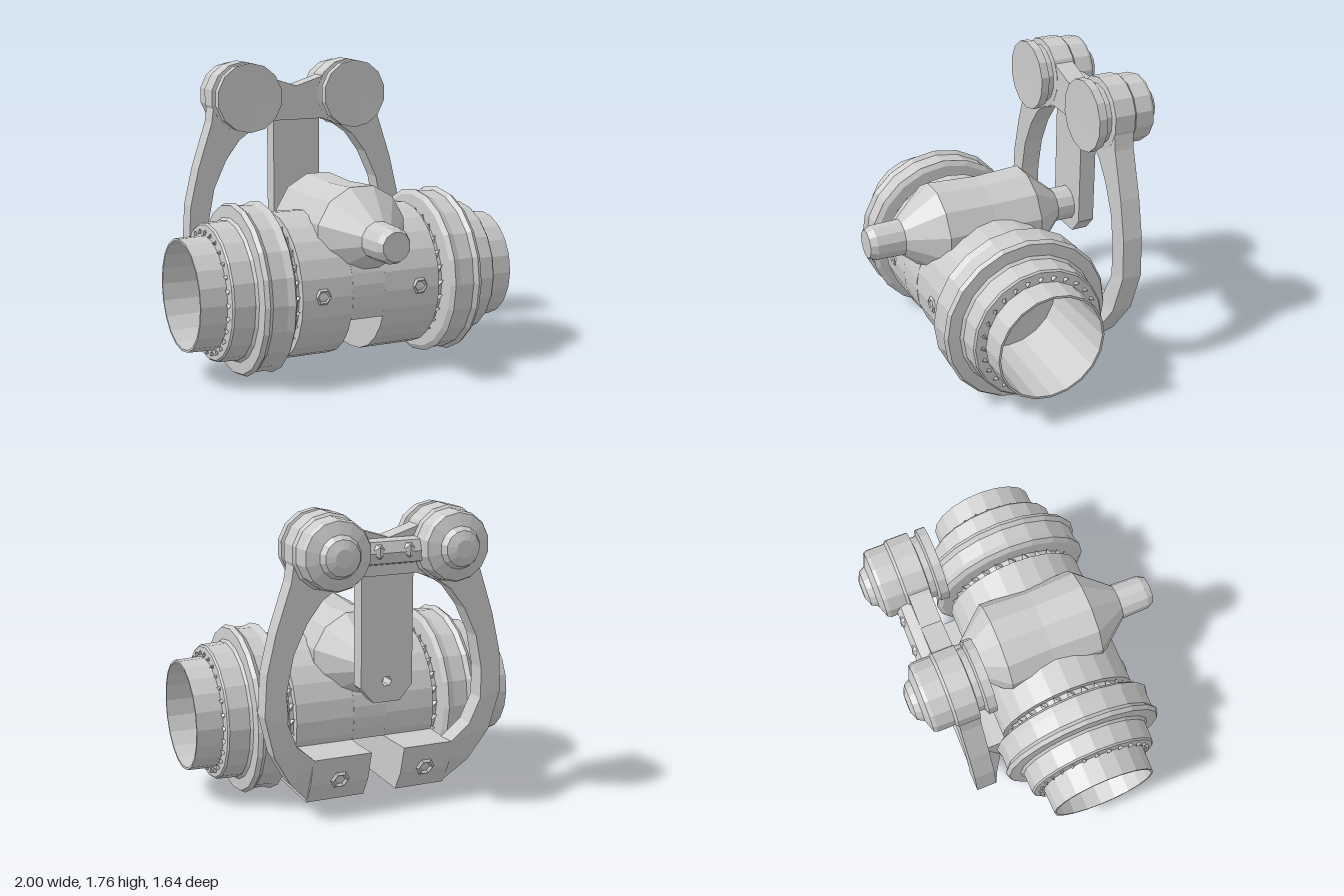
import * as THREE from 'three';

const AXIS_Y = 0.51, AXIS_Z = 0.115; // main tube axis
const material = new THREE.MeshStandardMaterial({ color: 0xcccccc, flatShading: true, side: THREE.DoubleSide });

function add(parent, name, geometry, x = 0, y = 0, z = 0) {
  const mesh = new THREE.Mesh(geometry, material);
  mesh.name = name;
  mesh.position.set(x, y, z);
  parent.add(mesh);
  return mesh;
}

// Turned part from [along, radius] pairs, about the x or the z axis
function turned(profile, sides, axis) {
  const g = new THREE.LatheGeometry(profile.map(([a, r]) => new THREE.Vector2(r, a)), sides);
  return axis === 'x' ? g.rotateZ(-Math.PI / 2) : g.rotateX(Math.PI / 2);
}

// Side profile of [z, y] pairs extruded from x0 to x1
function extrudeX(points, x0, x1) {
  const shape = new THREE.Shape(points.map(([z, y]) => new THREE.Vector2(-z, y)));
  const g = new THREE.ExtrudeGeometry(shape, { depth: x1 - x0, bevelEnabled: false });
  return g.rotateY(Math.PI / 2).translate(x0, 0, 0);
}

// Circle section of the body, optionally cut off flat below floorY
function bodySection(r, floorY = -Infinity) {
  const start = floorY > -1 ? Math.asin((floorY - AXIS_Y) / r) : -Math.PI / 2;
  const end = Math.PI - start, n = 24, points = [];
  for (let i = 0; i <= n; i++) {
    if (i === n && floorY < -1) break;
    const a = start + (end - start) * i / n;
    points.push([AXIS_Z + r * Math.cos(a), AXIS_Y + r * Math.sin(a)]);
  }
  return points;
}

// Back surface of the yoke, curling forward near the bottom
function yokeBack(y) {
  const curve = [[0.08, -0.45], [0.2, -0.52], [0.37, -0.57], [0.6, -0.595], [2, -0.605]];
  for (let i = 1; i < curve.length; i++) {
    const [y0, z0] = curve[i - 1], [y1, z1] = curve[i];
    if (y <= y1) return z0 + (z1 - z0) * (y - y0) / (y1 - y0);
  }
}

// Ring-shaped yoke swept through outer/inner point pairs, mirrored in x
function yokeGeometry() {
  const half = [ // outer x, outer y, inner x, inner y
    [0, 1.61, 0, 1.4], [0.16, 1.66, 0.17, 1.4], [0.34, 1.75, 0.29, 1.36],
    [0.53, 1.66, 0.39, 1.29], [0.57, 1.4, 0.48, 1.17], [0.66, 1.13, 0.56, 1.0],
    [0.715, 0.9, 0.6, 0.8], [0.73, 0.66, 0.6, 0.62], [0.67, 0.42, 0.54, 0.47],
    [0.56, 0.23, 0.42, 0.36], [0.43, 0.09, 0.14, 0.36]];
  const left = half.slice(1).reverse().map(([a, b, c, d]) => [-a, b, -c, d]);
  const sections = [...left, ...half], positions = [], index = [];
  for (const [ox, oy, ix, iy] of sections) {
    const zo = yokeBack(oy), zi = yokeBack(iy);
    positions.push(ox, oy, zo + 0.12, ox, oy, zo, ix, iy, zi, ix, iy, zi + 0.12);
  }
  for (let s = 0; s < sections.length - 1; s++) {
    for (let k = 0; k < 4; k++) {
      const a = s * 4 + k, b = s * 4 + (k + 1) % 4;
      index.push(a, a + 4, b, b, a + 4, b + 4);
    }
  }
  const g = new THREE.BufferGeometry();
  g.setAttribute('position', new THREE.Float32BufferAttribute(positions, 3));
  g.setIndex(index);
  g.computeVertexNormals();
  return g;
}

export function createModel() {
  const model = new THREE.Group();
  model.name = 'yokedTube';

  // Central body with a slot cut across its underside
  const body = new THREE.Group();
  body.name = 'body';
  model.add(body);
  const full = bodySection(0.43);
  add(body, 'bodyRight', extrudeX(full, -0.437, -0.125));
  add(body, 'bodyMiddle', extrudeX(bodySection(0.43, 0.36), -0.125, 0.08));
  add(body, 'bodyLeft', extrudeX(full, 0.08, 0.437));

  // Stepped hollow ends with collars, bore, end plate and hexagonal boss
  const endProfile = [[0.42, 0.38], [0.485, 0.38], [0.49, 0.47], [0.51, 0.5], [0.55, 0.485],
    [0.64, 0.485], [0.665, 0.505], [0.69, 0.49], [0.695, 0.42], [0.71, 0.405], [0.83, 0.4],
    [0.84, 0.39], [0.845, 0.33], [1, 0.325], [1, 0.312], [0.45, 0.3], [0.45, 0]];
  for (const side of [-1, 1]) {
    const end = new THREE.Group();
    end.name = side > 0 ? 'leftEnd' : 'rightEnd';
    end.position.set(0, AXIS_Y, AXIS_Z);
    if (side < 0) end.rotation.y = Math.PI;
    model.add(end);
    add(end, 'steppedSleeve', turned(endProfile, 20, 'x'));
    add(end, 'innerBoss', turned([[0.45, 0.13], [0.48, 0.12], [0.5, 0.07], [0.47, 0.04], [0.47, 0]], 6, 'x'));
    // Knurling in the groove beside the body and on the outer step
    for (let i = 0; i < 28; i++) {
      const a = i / 28 * Math.PI * 2;
      for (const [x, r, size] of [[0.46, 0.385, 0.035], [0.845, 0.35, 0.022]]) {
        const tooth = add(end, 'knurl', new THREE.TetrahedronGeometry(size), x, r * Math.sin(a), r * Math.cos(a));
        tooth.rotation.x = -a;
      }
    }
  }

  // Chamber lying across the top, with a spigot front and rear
  const chamber = [[-0.5, 0], [-0.5, 0.105], [-0.38, 0.105], [-0.18, 0.285], [0.1, 0.27],
    [0.4, 0.285], [0.61, 0.11], [0.78, 0.105], [0.82, 0.085], [0.82, 0]];
  add(model, 'chamber', turned(chamber, 12, 'z').rotateZ(Math.PI / 12), 0, 0.828, 0);

  // Small hexagonal sockets on the front of the body
  for (const x of [-0.31, 0.31]) {
    add(model, 'frontSocket', new THREE.TorusGeometry(0.04, 0.012, 4, 6), x, 0.52, 0.54);
  }

  // Yoke behind the body and the feet joining it to the underside
  add(model, 'yoke', yokeGeometry());
  const foot = [[0.11, 0.08], [-0.45, 0.08], [-0.52, 0.2], [-0.57, 0.37], [-0.38, 0.36], [0.05, 0.36]];
  for (const [x0, x1] of [[-0.437, -0.125], [0.08, 0.437]]) {
    add(model, 'foot', extrudeX(foot, x0, x1));
    const socket = add(model, 'footSocket', new THREE.TorusGeometry(0.045, 0.014, 4, 6), (x0 + x1) / 2, 0.22, -0.526);
    socket.rotation.x = -0.3;
  }

  // Hanging tongue with a chamfered lower end
  const tongue = new THREE.Shape([[-0.157, 1.42], [-0.157, 0.76], [-0.08, 0.67], [0.08, 0.67], [0.157, 0.76], [0.157, 1.42]]
    .map(([x, y]) => new THREE.Vector2(x, y)));
  const hole = new THREE.Path().absarc(0, 0.79, 0.03, 0, Math.PI * 2, true);
  tongue.holes.push(hole);
  add(model, 'tongue', new THREE.ExtrudeGeometry(tongue, { depth: 0.1, bevelEnabled: false, curveSegments: 3 }), 0, 0, -0.59);

  // Rotary knobs clamped through the shoulders of the yoke
  const knob = [[-0.82, 0], [-0.82, 0.05], [-0.8, 0.1], [-0.765, 0.12], [-0.74, 0.19], [-0.72, 0.2],
    [-0.62, 0.2], [-0.605, 0.215], [-0.48, 0.215], [-0.475, 0.18], [-0.44, 0.18],
    [-0.43, 0.212], [-0.38, 0.212], [-0.385, 0]];
  for (const x of [-0.355, 0.355]) add(model, 'knob', turned(knob, 14, 'z'), x, 1.555, 0);

  // Lumpy clamp between the knobs at the rear
  const clamp = [[-0.6, 1.46], [-0.67, 1.48], [-0.685, 1.54], [-0.66, 1.6], [-0.6, 1.61]];
  add(model, 'rearClamp', extrudeX(clamp, -0.17, 0.17));
  for (const x of [-0.09, 0.09]) {
    add(model, 'clampBump', new THREE.IcosahedronGeometry(0.06, 0), x, 1.545, -0.64);
  }
  return model;
}
